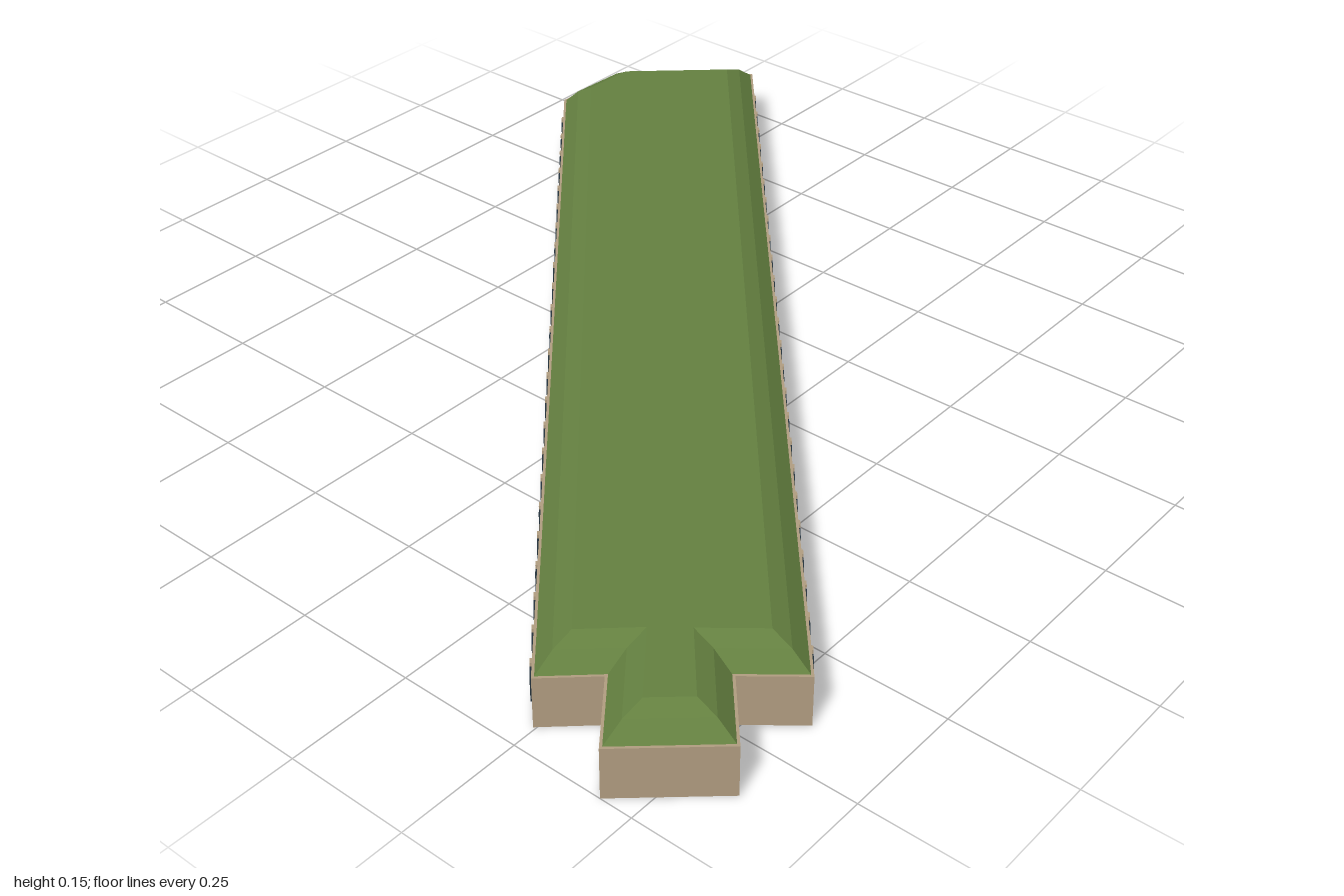
import * as THREE from 'three';

const WALL_TOP = 0.105;

// Footprint corners as [x, z], counter-clockwise seen from above
const FOOTPRINT = [
  [-0.95, 0.495], [-0.87, 0.582], [-1, 0.685], [-0.855, 0.848], [-0.735, 0.742],
  [-0.655, 0.84], [1, -0.595], [0.785, -0.83], [0.75, -0.845], [0.6, -0.852],
].map(([x, z]) => new THREE.Vector2(x, -z));

const wallMat = new THREE.MeshStandardMaterial({ color: 0xb09c80, flatShading: true });
const roofMat = new THREE.MeshStandardMaterial({ color: 0x648040, flatShading: true });
const paneMat = new THREE.MeshStandardMaterial({ color: 0x22303a, flatShading: true });

// Moves every edge of a closed outline inward by d
function inset(points, d) {
  const n = points.length;
  return points.map((p, i) => {
    const u = p.clone().sub(points[(i + n - 1) % n]).normalize();
    const v = points[(i + 1) % n].clone().sub(p).normalize();
    const a = new THREE.Vector2(-u.y, u.x);
    const b = new THREE.Vector2(-v.y, v.x);
    const k = d / (1 + a.dot(b));
    return p.clone().add(a.add(b).multiplyScalar(k));
  });
}

// Stacks inset rings [inset, height] and closes the top
function roofGeometry(levels) {
  const rings = levels.map(([d]) => inset(FOOTPRINT, d));
  const n = FOOTPRINT.length;
  const positions = [];
  const indices = [];
  rings.forEach((ring, r) => ring.forEach((p) => positions.push(p.x, levels[r][1], -p.y)));
  for (let r = 0; r < rings.length - 1; r++) {
    for (let i = 0; i < n; i++) {
      const a = r * n + i;
      const b = r * n + (i + 1) % n;
      indices.push(a, b, b + n, a, b + n, a + n);
    }
  }
  const top = (rings.length - 1) * n;
  for (const face of THREE.ShapeUtils.triangulateShape(rings.at(-1), [])) {
    indices.push(...face.map((i) => i + top));
  }
  const geometry = new THREE.BufferGeometry();
  geometry.setAttribute('position', new THREE.Float32BufferAttribute(positions, 3));
  geometry.setIndex(indices);
  const flat = geometry.toNonIndexed();
  flat.computeVertexNormals();
  return flat;
}

// Upright window outline with a faceted arched head
function windowGeometry(w, bottom, spring, top, depth) {
  const h = w / 2;
  const shape = new THREE.Shape([
    [-h, bottom], [h, bottom], [h, spring], [h * 0.6, top], [-h * 0.6, top], [-h, spring],
  ].map(([x, y]) => new THREE.Vector2(x, y)));
  return new THREE.ExtrudeGeometry(shape, { depth, bevelEnabled: false });
}

// Row of evenly spaced windows along the wall from p to q
function windowRow(name, p, q, count, margin) {
  const row = new THREE.Group();
  row.name = name;
  const length = p.distanceTo(q);
  const pane = windowGeometry(0.047, 0.02, 0.068, 0.08, 0.005);
  const sill = new THREE.BoxGeometry(0.012, 0.008, 0.006);
  for (let i = 0; i < count; i++) {
    const x = margin + (length - 2 * margin) * i / (count - 1);
    const glass = new THREE.Mesh(pane, paneMat);
    glass.name = 'windowPane';
    glass.position.x = x;
    const key = new THREE.Mesh(sill, wallMat);
    key.name = 'keystone';
    key.position.set(x, 0.084, 0.002);
    row.add(glass, key);
  }
  row.position.set(p.x, 0, -p.y);
  row.rotation.y = Math.atan2(q.y - p.y, q.x - p.x);
  return row;
}

export function createModel() {
  const model = new THREE.Group();
  model.name = 'longHall';

  // Walls
  const wallGeo = new THREE.ExtrudeGeometry(new THREE.Shape(FOOTPRINT), { depth: WALL_TOP, bevelEnabled: false });
  wallGeo.rotateX(-Math.PI / 2);
  const walls = new THREE.Mesh(wallGeo, wallMat);
  walls.name = 'walls';

  // Hipped roof: steep lower slope, shallow upper slope, flat top
  const roof = new THREE.Mesh(roofGeometry([[0.005, WALL_TOP], [0.034, 0.134], [0.065, 0.15]]), roofMat);
  roof.name = 'roof';

  // Arcades on the two long sides
  const [first, last] = [FOOTPRINT[0], FOOTPRINT.at(-1)];
  model.add(
    walls, roof,
    windowRow('frontWindows', FOOTPRINT[5], FOOTPRINT[6], 25, 0.09),
    windowRow('backWindows', last, first, 24, 0.063),
  );
  return model;
}
